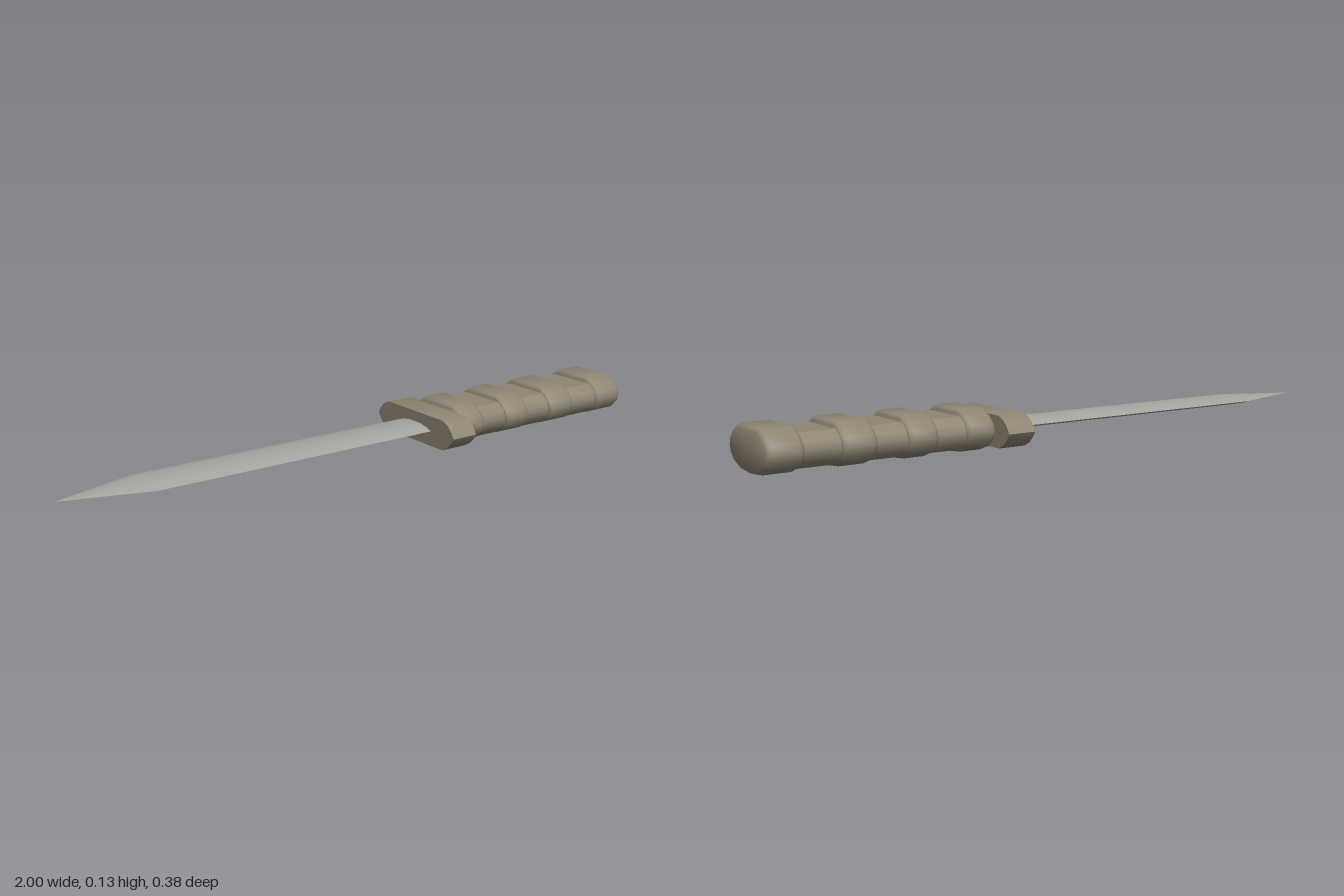
import * as THREE from 'three';
import { toCreasedNormals } from 'three/addons/utils/BufferGeometryUtils.js';

const MID = 0.0675; // height of the long axis

// Half outlines as [z, y from axis], bottom to top; mirrored to -z
const RIDGE = [[0, -0.0645], [0.06, -0.059], [0.1, -0.043], [0.12, -0.022], [0.127, 0], [0.119, 0.025], [0.1, 0.046], [0.07, 0.0645]];
const GRIP = [[0.085, -0.0475], [0.103, -0.031], [0.113, -0.012], [0.115, 0.004], [0.106, 0.027], [0.08, 0.0475]];
const GUARD = [[0.137, -0.0475], [0.162, -0.034], [0.18, -0.016], [0.19, 0], [0.18, 0.018], [0.162, 0.036], [0.137, 0.0475]];
const BLADE = [[0.025, -0.014], [0.055, -0.009], [0.083, 0], [0.055, 0.009], [0.025, 0.014]];

// Lofts an outline along x through stations [x, zScale, yScale]; scale 0 closes the end
function loft(half, stations, crease) {
  const ring = [...half, ...half.filter(p => p[0] > 0).reverse().map(([z, y]) => [-z, y])];
  const n = ring.length, pos = [], idx = [];
  for (const [x, sz, sy] of stations) for (const [z, y] of ring) pos.push(x, y * sy, z * sz);
  for (let i = 0; i < stations.length - 1; i++) {
    for (let j = 0; j < n; j++) {
      const a = i * n + j, b = i * n + (j + 1) % n, c = a + n, d = b + n;
      if (stations[i][1] > 0) idx.push(a, c, b);
      if (stations[i + 1][1] > 0) idx.push(c, d, b);
    }
  }
  const g = new THREE.BufferGeometry();
  g.setAttribute('position', new THREE.Float32BufferAttribute(pos, 3));
  g.setIndex(idx);
  return toCreasedNormals(g, crease);
}

export function createModel() {
  const group = new THREE.Group();
  const handleMat = new THREE.MeshStandardMaterial({ color: 0x8e8472 });
  const bladeMat = new THREE.MeshStandardMaterial({ color: 0xa5a49f });
  const add = (name, geometry, material) => {
    const mesh = new THREE.Mesh(geometry, material);
    mesh.name = name;
    mesh.position.y = MID;
    group.add(mesh);
    return mesh;
  };

  // Blade with a flat middle, thin edges and a tapered point
  const blade = loft(BLADE, [[-1, 0, 0], [-0.735, 1, 0.92], [-0.7, 1, 1], [0.22, 1, 1], [0.22, 0, 0]], 0.35);
  add('blade', blade, bladeMat).position.z = -0.002;

  // Cross guard
  add('guard', loft(GUARD, [[0.21, 0, 0], [0.21, 1, 1], [0.3, 1, 1], [0.3, 0, 0]], 0.6), handleMat);

  // Grip core
  add('grip', loft(GRIP, [[0.29, 0, 0], [0.29, 1, 1], [0.95, 1, 1], [0.95, 0, 0]], 0.6), handleMat);

  // Raised bands with rounded rims; the last one is the pommel
  [[0.3, 0.395], [0.488, 0.582], [0.678, 0.783], [0.892, 1]].forEach(([x0, x1], i) => {
    const band = loft(RIDGE, [
      [x0, 0, 0], [x0, 0.93, 0.87], [x0 + 0.004, 0.97, 0.94], [x0 + 0.014, 1, 1],
      [x1 - 0.014, 1, 1], [x1 - 0.004, 0.97, 0.94], [x1, 0.93, 0.87], [x1, 0, 0],
    ], 0.75);
    add(i < 3 ? `gripBand${i + 1}` : 'pommel', band, handleMat);
  });

  return group;
}
